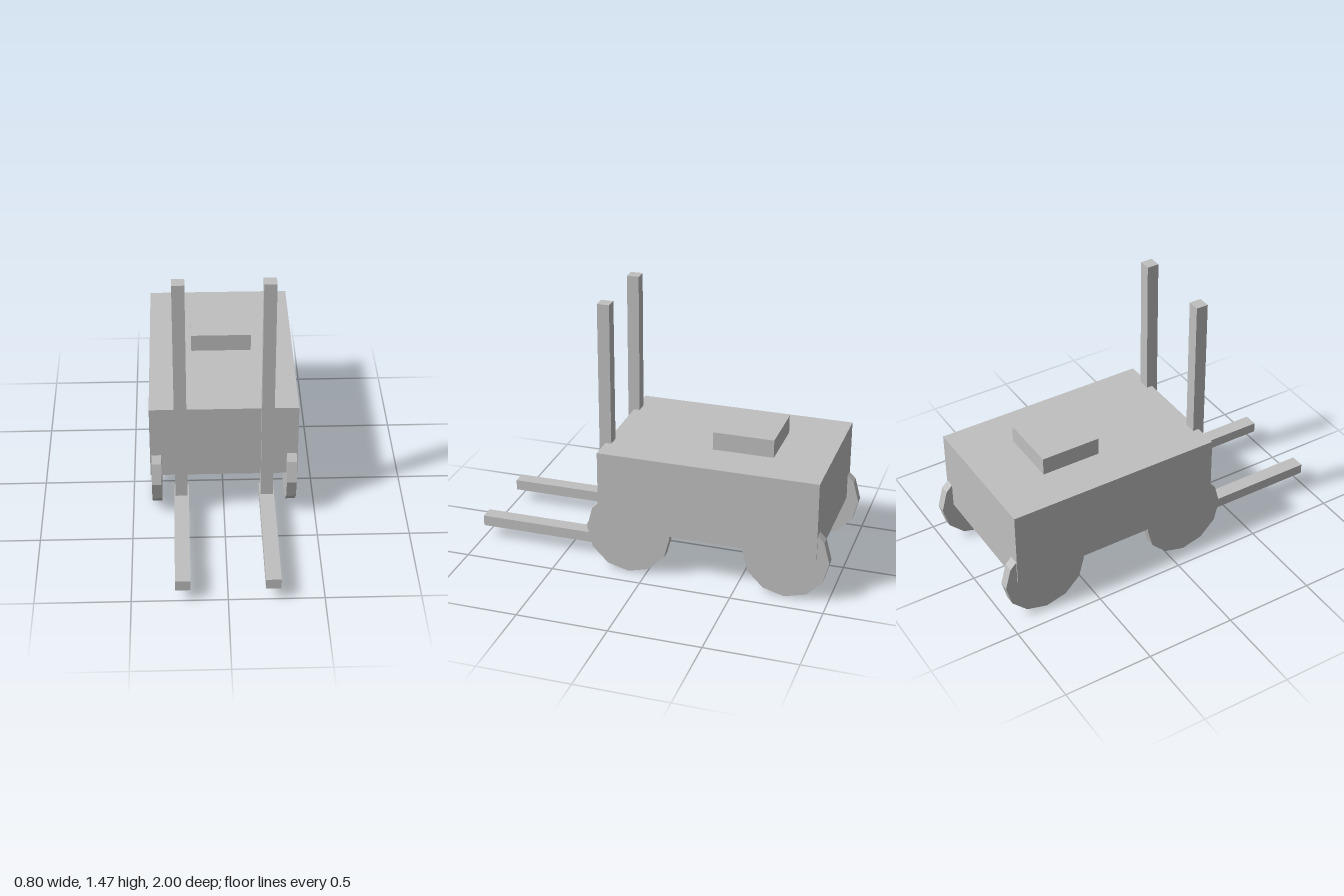
import * as THREE from 'three';

export function createModel() {
  const group = new THREE.Group();
  const grey = new THREE.MeshStandardMaterial({ color: 0xc0c0c0, flatShading: true });
  grey.name = 'light grey';

  const add = (name, geometry, x, y, z) => {
    const mesh = new THREE.Mesh(geometry, grey);
    mesh.name = name;
    mesh.position.set(x, y, z);
    group.add(mesh);
  };

  // Chassis block and the raised block on top of it
  add('body', new THREE.BoxGeometry(0.8, 0.433, 1.2), 0, 0.467, -0.333);
  add('seat', new THREE.BoxGeometry(0.333, 0.1, 0.333), 0, 0.733, -0.467);

  // Twelve-sided wheels lying along x, with a corner at the bottom
  const wheel = new THREE.CylinderGeometry(0.2333, 0.2333, 0.0533, 12).rotateZ(Math.PI / 2);
  const mast = new THREE.BoxGeometry(0.0667, 1.4, 0.0667);
  const fork = new THREE.BoxGeometry(0.08, 0.06, 0.8);

  for (const [side, s] of [['left', 1], ['right', -1]]) {
    add(side + 'FrontWheel', wheel, s * 0.3667, 0.2333, 0.1);
    add(side + 'RearWheel', wheel, s * 0.3667, 0.2333, -0.7667);
    add(side + 'Mast', mast, s * 0.2333, 0.767, 0.2667);
    add(side + 'Fork', fork, s * 0.2333, 0.1, 0.6);
  }
  return group;
}
